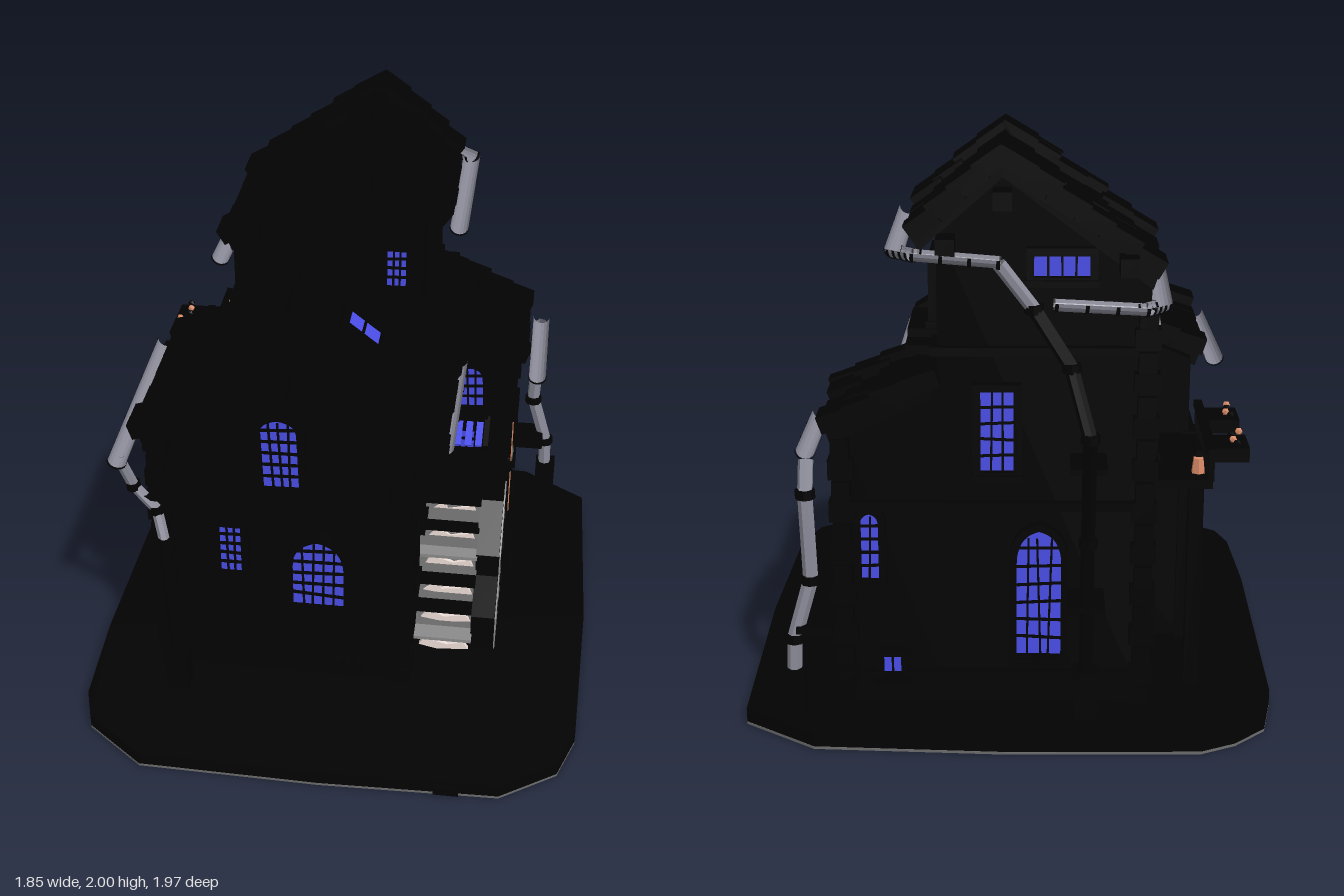
import * as THREE from 'three';
import { mergeGeometries } from 'three/addons/utils/BufferGeometryUtils.js';

const mat = (color) => new THREE.MeshStandardMaterial({ color, flatShading: true, side: THREE.DoubleSide });
const DARK = mat(0x020202), ROOF = mat(0x020202), GLASS = mat(0x4a4ee8), METAL = mat(0x8c8c9a);
const PLASTER = mat(0x8c8c8c), STEP = mat(0xf0e0da), COPPER = mat(0xd88a66), UNDER = mat(0x6c6c6c);

let seed = 7;
const rnd = () => (seed = (seed * 16807) % 2147483647) / 2147483647;

function add(parent, name, geo, material) {
  const m = new THREE.Mesh(geo, material);
  m.name = name;
  parent.add(m);
  return m;
}
// Box given by its extents
const ext = (x0, x1, y0, y1, z0, z1) => new THREE.BoxGeometry(x1 - x0, y1 - y0, z1 - z0)
  .translate((x0 + x1) / 2, (y0 + y1) / 2, (z0 + z1) / 2);
const poly = (pts) => new THREE.Shape(pts.map(([x, y]) => new THREE.Vector2(x, y)));
const extrude = (shape, depth) => new THREE.ExtrudeGeometry(shape, { depth, bevelEnabled: false });
const prism = (pts, z0, z1) => extrude(poly(pts), z1 - z0).translate(0, 0, z0);
// Prism drawn in (z, y) and running along x
const sidePrism = (pts, x0, x1) => extrude(poly(pts.map(([z, y]) => [-z, y])), x1 - x0).rotateY(Math.PI / 2).translate(x0, 0, 0);

// Window outline, with a pointed-round top when arch > 0
function outline(w, h, arch) {
  const s = new THREE.Shape();
  s.moveTo(-w / 2, -h / 2);
  s.lineTo(w / 2, -h / 2);
  s.lineTo(w / 2, h / 2 - arch);
  if (arch) {
    s.quadraticCurveTo(w / 2, h / 2 - arch * 0.15, 0, h / 2);
    s.quadraticCurveTo(-w / 2, h / 2 - arch * 0.15, -w / 2, h / 2 - arch);
  } else s.lineTo(-w / 2, h / 2);
  return s;
}

// Framed window with crooked glazing bars, facing +z before it is turned
function addWindow(parent, name, w, h, arch, cols, rows, pos, ry = 0, tilt = 0) {
  const g = new THREE.Group();
  g.name = name;
  g.position.set(...pos);
  g.rotation.set(0, ry, tilt);
  add(g, 'pane', new THREE.ShapeGeometry(outline(w, h, arch), 6).translate(0, 0, 0.012), GLASS);
  const frame = outline(w + 0.05, h + 0.05, arch ? arch + 0.02 : 0);
  frame.holes.push(outline(w, h, arch));
  add(g, 'frame', extrude(frame, 0.035), DARK);
  for (let i = 1; i < cols; i++) {
    const bar = add(g, 'bar', new THREE.BoxGeometry(0.007, h * (arch ? 0.93 : 1), 0.01), DARK);
    bar.position.set(-w / 2 + (w * i) / cols, arch ? -h * 0.035 : 0, 0.017);
    bar.rotation.z = (rnd() - 0.5) * 0.06;
  }
  for (let i = 1; i < rows; i++) {
    const bar = add(g, 'bar', new THREE.BoxGeometry(w, 0.007, 0.01), DARK);
    bar.position.set(0, -h / 2 + (h * i) / rows, 0.017);
    bar.rotation.z = (rnd() - 0.5) * 0.14;
  }
  add(g, 'sill', new THREE.BoxGeometry(w + 0.06, 0.022, 0.05), DARK).position.set(0, -h / 2 - 0.02, 0.02);
  parent.add(g);
  return g;
}

// Overlapping uneven shingles from eave to ridge on a solid bed, raised at the gable ends
function addRoof(parent, name, eave, ridge, z0, z1, rows) {
  const dx = ridge[0] - eave[0], dy = ridge[1] - eave[1], len = Math.hypot(dx, dy);
  const angle = Math.atan2(dy, dx), out = dx > 0 ? 1 : -1, parts = [];
  for (let r = 0; r < rows; r++) {
    const t = (r + 0.5) / rows;
    for (let z = z0; z < z1 - 0.01;) {
      let w = 0.07 + rnd() * 0.08;
      if (z + w > z1 - 0.05) w = z1 - z;
      const end = z < z0 + 0.08 || z + w > z1 - 0.08;
      parts.push(new THREE.BoxGeometry((len / rows) * (1.15 + rnd() * 0.25), end ? 0.06 : 0.03, w)
        .rotateZ(angle - out * 0.1)
        .translate(eave[0] + dx * t, eave[1] + dy * t - 0.014 + rnd() * 0.012 + (end ? 0.016 : 0), z + w / 2));
      z += w;
    }
  }
  add(parent, name, mergeGeometries(parts), ROOF);
  const [ex, ey] = eave, [rx, ry] = ridge;
  add(parent, name + 'Bed', prism([[ex, ey], [ex + out * 0.02, ey - 0.06], [rx, ry - 0.07], [rx, ry]], z0 + 0.02, z1 - 0.02), ROOF);
}

// Open half-round gutter through a list of points, with joint collars
function addGutter(parent, name, pts, r = 0.032) {
  const g = new THREE.Group();
  g.name = name;
  pts.slice(1).forEach((p, i) => {
    const a = new THREE.Vector3(...pts[i]), b = new THREE.Vector3(...p), n = 3;
    const seg = new THREE.Group(), len = a.distanceTo(b);
    seg.position.copy(a);
    seg.lookAt(b);
    const trough = (rad, l) => new THREE.CylinderGeometry(rad, rad, l, 8, 1, true, -Math.PI / 2, Math.PI).rotateX(Math.PI / 2);
    add(seg, 'trough', trough(r, len).translate(0, 0, len / 2), METAL);
    for (let k = 0; k <= n; k++) add(seg, 'collar', trough(r * 1.12, 0.012).translate(0, 0, (len * k) / n), DARK);
    g.add(seg);
  });
  parent.add(g);
}

// Kinked downpipe: bright metal down to the given joint, blackened below, on a stone foot
function addPipe(parent, name, pts, split, r = 0.024) {
  const v = pts.map((p) => new THREE.Vector3(...p));
  v.slice(1).forEach((p, i) => {
    add(parent, name, new THREE.TubeGeometry(new THREE.LineCurve3(v[i], p), 1, r, 7), i < split ? METAL : DARK);
    add(parent, name + 'Joint', new THREE.CylinderGeometry(r * 1.3, r * 1.3, 0.03, 8), DARK).position.copy(p);
  });
  const [x, , z] = pts[pts.length - 1];
  add(parent, name + 'Foot', ext(x - 0.04, x + 0.04, 0.05, 0.23, z - 0.04, z + 0.04), DARK);
}

// Alternating corner stones
function addQuoins(parent, x, z, top) {
  const parts = [];
  for (let y = 0.05, i = 0; y < top - 0.04; y += 0.075, i++) {
    const a = i % 2 ? 0.085 : 0.06, b = i % 2 ? 0.06 : 0.085;
    parts.push(new THREE.BoxGeometry(a, 0.07, b).translate(x, y + 0.034, z));
  }
  add(parent, 'cornerStones', mergeGeometries(parts), DARK);
}

export function createModel() {
  const g = new THREE.Group();
  g.name = 'crookedHouse';

  // Ground slab with clipped corners
  const plan = [[-0.87, -0.8], [-0.65, -0.965], [0, -0.975], [0.64, -0.955], [0.84, -0.82], [0.9, -0.65], [0.92, 0], [0.9, 0.79],
    [0.65, 0.955], [0, 0.985], [-0.64, 0.975], [-0.76, 0.92], [-0.87, 0.82], [-0.91, 0.64], [-0.925, -0.3], [-0.91, -0.68]];
  // The plan is drawn with its y axis pointing to the back
  add(g, 'groundSlab', extrude(poly(plan), 0.05).rotateX(-Math.PI / 2).translate(0, 0.01, 0), DARK);
  add(g, 'slabUnderside', extrude(poly(plan), 0.009).rotateX(-Math.PI / 2), UNDER);
  add(g, 'kerbBlock', ext(0.41, 0.5, 0.02, 0.05, 0.93, 0.985), DARK);

  // Wall masses
  add(g, 'frontHouseWalls', prism([[-0.64, 0.05], [0.245, 0.05], [0.245, 1.12], [-0.17, 1.47], [-0.42, 1.23], [-0.64, 1.14]], -0.2, 0.43), DARK);
  add(g, 'towerWalls', prism([[-0.46, 0.05], [0.235, 0.05], [0.235, 1.73], [0.02, 1.92], [-0.46, 1.57]], -0.69, -0.15), DARK);
  add(g, 'sideWingWalls', prism([[0.2, 0.05], [0.56, 0.05], [0.56, 1.05], [0.2, 1.22]], -0.69, -0.33), DARK);
  add(g, 'frontPlinth', ext(-0.68, 0.27, 0.05, 0.2, -0.15, 0.46), DARK);
  add(g, 'leftLowerWall', ext(-0.67, -0.6, 0.05, 0.8, -0.19, 0.43), DARK);
  add(g, 'backPlinth', ext(-0.47, 0.58, 0.05, 0.17, -0.73, -0.34), DARK);
  add(g, 'stringCourse', ext(-0.68, 0.27, 0.78, 0.82, -0.15, 0.46), DARK);
  add(g, 'backCourse', ext(-0.47, 0.58, 0.76, 0.79, -0.72, -0.32), DARK);
  add(g, 'towerCourse', ext(-0.48, 0.26, 1.3, 1.33, -0.72, -0.14), DARK);
  addQuoins(g, -0.645, 0.43, 1.1);
  addQuoins(g, 0.24, 0.43, 1.08);
  addQuoins(g, -0.645, -0.17, 0.85);
  addQuoins(g, 0.56, -0.7, 1);
  addQuoins(g, 0.545, -0.345, 1);
  addQuoins(g, -0.45, -0.7, 1.5);

  // Roofs
  addRoof(g, 'frontRoofRight', [0.36, 1.11], [-0.17, 1.535], -0.17, 0.56, 6);
  addRoof(g, 'frontRoofLeft', [-0.42, 1.28], [-0.17, 1.535], -0.17, 0.56, 3);
  addRoof(g, 'frontRoofFlare', [-0.68, 1.16], [-0.4, 1.28], -0.17, 0.56, 3);
  addRoof(g, 'towerRoofRight', [0.31, 1.71], [0.02, 1.96], -0.76, -0.1, 4);
  addRoof(g, 'towerRoofLeft', [-0.48, 1.59], [0.02, 1.96], -0.76, -0.1, 6);
  addRoof(g, 'wingRoof', [0.61, 1.06], [0.25, 1.23], -0.75, -0.27, 4);
  for (const [x, y, z] of [[0.02, 1.83, -0.78], [0.2, 1.68, -0.78], [-0.38, 1.62, -0.78], [0.02, 1.83, -0.1], [-0.38, 1.62, -0.1], [-0.17, 1.4, 0.56], [-0.6, 1.12, 0.55]])
    add(g, 'purlinEnd', ext(x - 0.03, x + 0.03, y - 0.03, y + 0.03, z - 0.05, z + 0.05), DARK);

  // Windows: front, right, back and left
  const R = Math.PI / 2, B = Math.PI;
  addWindow(g, 'frontArchWindow', 0.19, 0.3, 0.13, 5, 6, [-0.07, 0.53, 0.43]);
  addWindow(g, 'upperArchWindow', 0.13, 0.29, 0.06, 4, 6, [-0.2, 1.05, 0.43], 0, 0.03);
  addWindow(g, 'frontSmallWindow', 0.08, 0.21, 0, 3, 5, [-0.39, 0.615, 0.43]);
  addWindow(g, 'towerFrontWindow', 0.07, 0.15, 0, 3, 4, [0.14, 1.495, -0.15]);
  addWindow(g, 'wingFrontWindow', 0.09, 0.18, 0.05, 3, 4, [0.42, 0.9, -0.33], 0, 0.06);
  addWindow(g, 'doorWindow', 0.11, 0.09, 0, 4, 2, [0.385, 0.655, -0.33]);
  addWindow(g, 'sideArchWindow', 0.15, 0.23, 0.09, 5, 5, [0.245, 0.95, 0.225], R);
  addWindow(g, 'sideWindowLow', 0.09, 0.19, 0, 4, 4, [0.245, 0.51, 0.285], R, 0.04);
  addWindow(g, 'sideWindowHigh', 0.1, 0.19, 0, 4, 4, [0.245, 0.62, 0.045], R, -0.03);
  addWindow(g, 'towerSideWindow', 0.22, 0.18, 0, 6, 4, [0.235, 1.475, -0.43], R);
  addWindow(g, 'wingSideWindow', 0.07, 0.1, 0, 3, 3, [0.56, 0.825, -0.405], R);
  addWindow(g, 'wingArchWindow', 0.05, 0.2, 0.06, 2, 5, [0.56, 0.4, -0.49], R, 0.08);
  addWindow(g, 'backArchWindow', 0.15, 0.46, 0.12, 4, 7, [-0.1, 0.46, -0.69], B);
  addWindow(g, 'backUpperWindow', 0.11, 0.28, 0, 3, 5, [0.04, 1.04, -0.69], B);
  addWindow(g, 'backGableWindow', 0.18, 0.07, 0, 4, 1, [-0.17, 1.6, -0.69], B);
  addWindow(g, 'wingBackWindow', 0.06, 0.24, 0.04, 2, 5, [0.47, 0.63, -0.69], B);
  addWindow(g, 'cellarBackWindow', 0.06, 0.07, 0, 2, 1, [0.4, 0.2, -0.71], B);
  addWindow(g, 'towerLeftWindow', 0.08, 0.44, 0.05, 3, 8, [-0.46, 1.17, -0.58], -R);

  // Skylight lying in the right slope of the front roof
  addWindow(g, 'skylight', 0.12, 0.14, 0, 1, 2, [0.045, 1.375, 0.13], R).rotateX(0.67 - R);

  // Tower window boxes
  for (const [y, x] of [[1.32, 0.34], [1.26, 0.35]]) add(g, 'towerLedge', ext(0.22, x, y, y + 0.03, -0.56, -0.29), DARK);

  // Staircase with broken light risers, plastered side wall and landing
  for (let i = 0; i < 6; i++) {
    const y = 0.125 + i * 0.076, z = 0.28 - i * 0.073, k = 0.02 * (i % 3);
    add(g, 'tread', ext(0.25, 0.49, y - 0.014, y, z - 0.085, z), i === 0 || i === 3 ? PLASTER : DARK);
    add(g, 'riser', prism([[0.29, y - 0.05], [0.36 + k, y - 0.065], [0.48, y - 0.055], [0.46, y - 0.025], [0.4 - k, y - 0.04], [0.31 + k, y - 0.016]], z - 0.03, z - 0.012), STEP);
  }
  add(g, 'stairCore', sidePrism([[0.24, 0.05], [-0.3, 0.05], [-0.3, 0.5], [-0.13, 0.5], [0.24, 0.09]], 0.245, 0.49), DARK);
  add(g, 'landing', ext(0.24, 0.575, 0.48, 0.52, -0.34, -0.12), DARK);
  const flank = [[0.24, 0.055], [-0.26, 0.055], [-0.26, 0.5], [-0.22, 0.52], [-0.13, 0.51], [0.05, 0.36], [0.06, 0.27], [0.24, 0.21]];
  add(g, 'stairSideWall', sidePrism(flank, 0.485, 0.574), DARK);
  add(g, 'stairPlaster', sidePrism(flank, 0.575, 0.58), PLASTER);
  for (const [z, y] of [[0.1, 0.16], [0.0, 0.21], [-0.02, 0.3], [-0.07, 0.31], [-0.16, 0.46], [-0.13, 0.38], [-0.23, 0.34], [-0.1, 0.1], [-0.22, 0.11], [-0.04, 0.26]])
    add(g, 'bareStone', new THREE.BoxGeometry(0.012, 0.03, 0.038).rotateX((rnd() - 0.5) * 0.5), DARK).position.set(0.58, y, z);
  addWindow(g, 'stairWindow', 0.055, 0.11, 0, 3, 3, [0.575, 0.23, -0.18], R, 0.05);
  add(g, 'door', ext(0.31, 0.46, 0.52, 0.6, -0.34, -0.31), DARK);
  add(g, 'copperTrim', sidePrism([[-0.28, 0.77], [-0.325, 0.7], [-0.325, 0.57], [-0.285, 0.58]], 0.588, 0.592), COPPER);
  add(g, 'copperTrim', sidePrism([[-0.3, 0.49], [-0.325, 0.5], [-0.32, 0.33], [-0.305, 0.32]], 0.588, 0.592), COPPER);

  // Striped awning over the door
  for (let i = 0; i < 5; i++)
    add(g, 'awningSlat', new THREE.BoxGeometry(0.026, 0.008, 0.13).rotateX(0.3), GLASS).position.set(0.302 + i * 0.04, 0.725, -0.25);
  for (const x of [0.28, 0.49])
    add(g, 'awningSide', new THREE.BoxGeometry(0.02, 0.035, 0.15).rotateX(0.3), DARK).position.set(x, 0.725, -0.25);
  add(g, 'awningRail', ext(0.28, 0.49, 0.745, 0.765, -0.34, -0.3), DARK);

  // Gutters and downpipes
  addGutter(g, 'frontGutterRight', [[0.37, 1.12, 0.43], [0.375, 1.13, -0.13]], 0.036);
  addGutter(g, 'frontGutterLeft', [[-0.73, 1.1, 0.63], [-0.73, 1.13, -0.13]]);
  addGutter(g, 'wingGutter', [[0.67, 0.975, -0.3], [0.67, 0.985, -0.74]]);
  addGutter(g, 'towerGutterRight', [[0.36, 1.68, -0.13], [0.36, 1.67, -0.76], [0.3, 1.67, -0.81], [0.03, 1.65, -0.82]]);
  addGutter(g, 'towerGutterLeft', [[-0.505, 1.5, -0.13], [-0.49, 1.49, -0.74], [-0.44, 1.49, -0.79], [-0.15, 1.51, -0.81]]);
  addPipe(g, 'towerDownpipe', [[0.03, 1.63, -0.81], [-0.08, 1.48, -0.79], [-0.2, 1.3, -0.84], [-0.26, 1.09, -0.92], [-0.26, 0.7, -0.84], [-0.26, 0.1, -0.81]], 1);
  addPipe(g, 'wingDownpipe', [[0.67, 0.95, -0.74], [0.67, 0.85, -0.79], [0.66, 0.55, -0.8], [0.72, 0.34, -0.81], [0.73, 0.1, -0.81]], 4, 0.026);
  addPipe(g, 'frontDownpipe', [[-0.73, 1.07, 0.59], [-0.7, 0.95, 0.56], [-0.62, 0.86, 0.57], [-0.59, 0.75, 0.61], [-0.6, 0.45, 0.57], [-0.58, 0.1, 0.58]], 3, 0.02);
  for (const [x, y, z] of [[-0.6, 0.9, 0.5], [-0.6, 0.35, 0.5], [0.65, 0.37, -0.77], [-0.26, 0.95, -0.8], [-0.26, 0.45, -0.77]])
    add(g, 'pipeBracket', ext(x - 0.06, x + 0.06, y, y + 0.02, z - 0.08, z + 0.08), DARK);

  // Balcony on posts with planter and hanging lamp, on the left of the tower
  add(g, 'balconyDeck', ext(-0.68, -0.44, 0.83, 0.86, -0.68, -0.15), DARK);
  add(g, 'balconyRail', ext(-0.69, -0.66, 0.95, 0.97, -0.68, -0.15), DARK);
  for (const z of [-0.58, -0.2]) add(g, 'balconyPost', ext(-0.66, -0.61, 0.05, 0.84, z - 0.025, z + 0.025), DARK);
  for (const z of [-0.6, -0.31]) add(g, 'planter', ext(-0.8, -0.68, 0.92, 0.97, z - 0.07, z + 0.07), DARK);
  for (let i = 0; i < 8; i++) {
    add(g, 'baluster', ext(-0.685, -0.665, 0.85, 0.96, -0.67 + i * 0.07, -0.655 + i * 0.07), DARK);
    add(g, 'flower', new THREE.IcosahedronGeometry(0.014, 0), i % 2 ? COPPER : DARK)
      .position.set(-0.78 + rnd() * 0.04, 0.985, (i < 4 ? -0.66 : -0.37) + (i % 4) * 0.04);
  }
  add(g, 'lampArm', ext(-0.63, -0.61, 0.98, 1, -0.78, -0.66), DARK);
  add(g, 'lamp', new THREE.CylinderGeometry(0.018, 0.024, 0.05, 6).translate(-0.62, 0.945, -0.76), COPPER);

  // Front lantern and vent
  add(g, 'lantern', ext(0.12, 0.19, 0.86, 0.97, 0.43, 0.49), DARK);
  for (let i = 0; i < 5; i++) add(g, 'ventBar', ext(-0.09 + i * 0.04, -0.07 + i * 0.04, 0.08, 0.15, 0.46, 0.485), DARK);
  return g;
}
